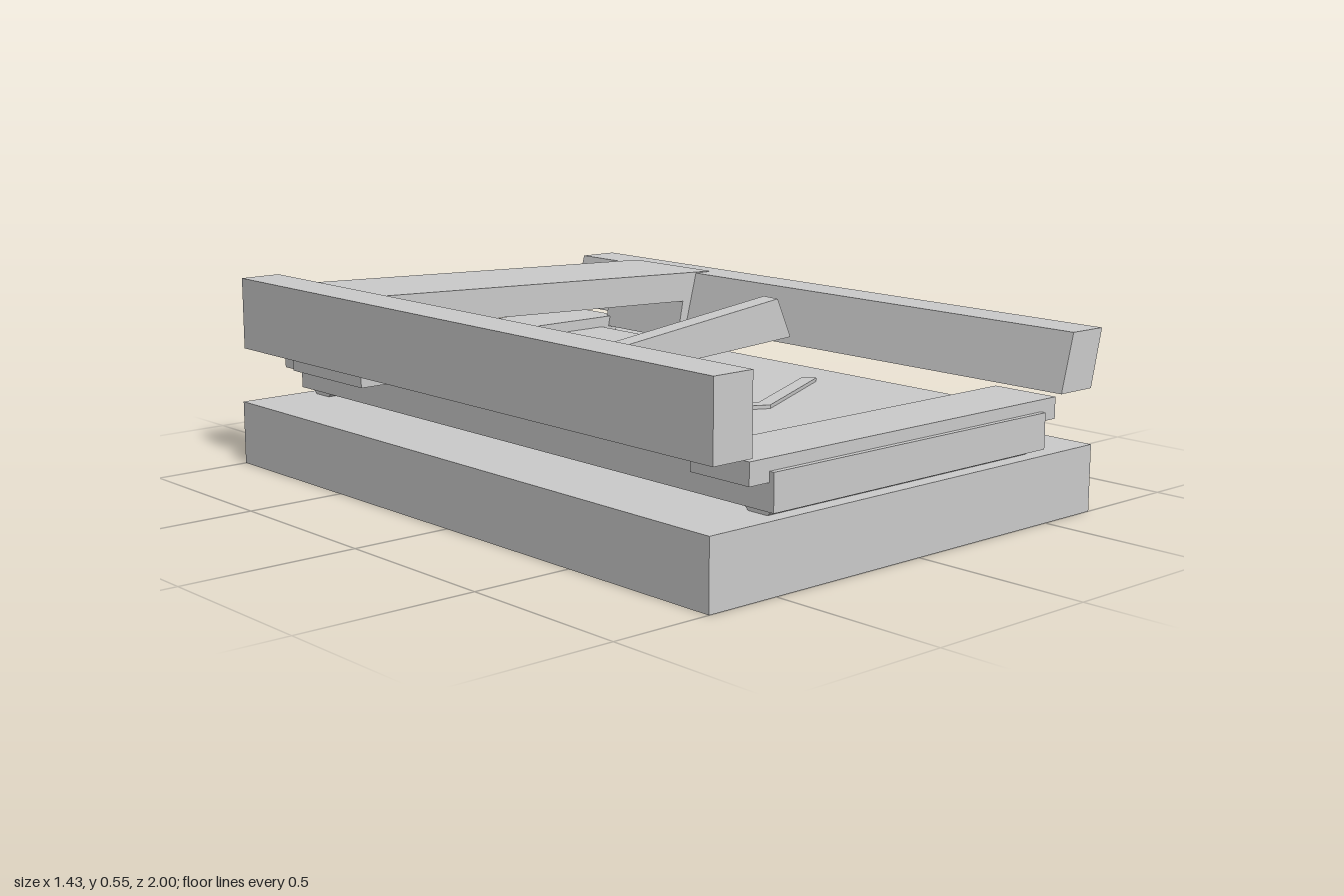
import * as THREE from 'three';

const material = new THREE.MeshStandardMaterial({ color: 0xcccccc, flatShading: true });

export function createModel() {
  const group = new THREE.Group();

  const add = (name, geometry) => {
    const mesh = new THREE.Mesh(geometry, material);
    mesh.name = name;
    group.add(mesh);
    return mesh;
  };

  // Box given by its limits on each axis
  const box = (name, x0, x1, y0, y1, z0, z1) => {
    const mesh = add(name, new THREE.BoxGeometry(x1 - x0, y1 - y0, z1 - z0));
    mesh.position.set((x0 + x1) / 2, (y0 + y1) / 2, (z0 + z1) / 2);
    return mesh;
  };

  // Front profile (x, y) extruded from z0 to z1
  const prism = (name, points, z0, z1) => {
    const shape = new THREE.Shape(points.map(([x, y]) => new THREE.Vector2(x, y)));
    const geometry = new THREE.ExtrudeGeometry(shape, { depth: z1 - z0, bevelEnabled: false });
    geometry.translate(0, 0, z0);
    return add(name, geometry);
  };

  // Base and the bed above it
  box('base', -0.715, 0.685, 0, 0.185, -1, 1);
  box('bed', -0.512, 0.484, 0.202, 0.3, -1, 1);
  box('sideBlock', 0.46, 0.66, 0.185, 0.275, -0.87, -0.55);

  // Cross bars on the bed and the tapered feet under it, at both ends
  for (const end of [1, -1]) {
    const bar = box('crossBar', -0.577, 0.543, 0.273, 0.332, -0.1, 0.1);
    bar.position.z = end * 0.885;
    const foot = prism('bedFoot',
      [[-0.055, 0.205], [-0.03, 0.183], [0.03, 0.183], [0.055, 0.205]], -0.475, 0.475);
    foot.rotation.y = Math.PI / 2;
    foot.position.set(-0.015, 0, end * 0.925);
  }

  // Side rails: upright on the right, leaning outward on the left
  box('rightRail', -0.705, -0.582, 0.343, 0.55, -1, 1);
  prism('leftRail', [[0.548, 0.34], [0.674, 0.34], [0.712, 0.499], [0.59, 0.5]], -1, 1);

  // Bridge between the rails, with a flange under each rail
  prism('bridge', [
    [-0.665, 0.3], [-0.54, 0.3], [-0.54, 0.457], [0.535, 0.417], [0.512, 0.3], [0.632, 0.3],
    [0.643, 0.342], [0.56, 0.342], [0.6, 0.49], [0.65, 0.501], [-0.58, 0.548], [-0.58, 0.343], [-0.665, 0.343],
  ], -0.8, -0.455);

  // Thin chevrons lying on the bed, each of two mirrored strips
  for (const z of [0.38, -0.32]) {
    for (const side of [1, -1]) {
      const strip = box('chevronStrip', -0.2, 0.2, 0.298, 0.31, -0.02, 0.02);
      strip.position.x = -0.015 + side * 0.17;
      strip.position.z = z;
      strip.rotation.y = side * 0.463;
    }
  }

  // Tilted lever across the middle
  const lever = prism('lever',
    [[-0.427, 0.382], [-0.413, 0.318], [0.43, 0.393], [0.382, 0.508]], -0.032, 0.032);
  lever.position.z = 0.043;
  lever.rotation.y = -0.118;

  return group;
}
